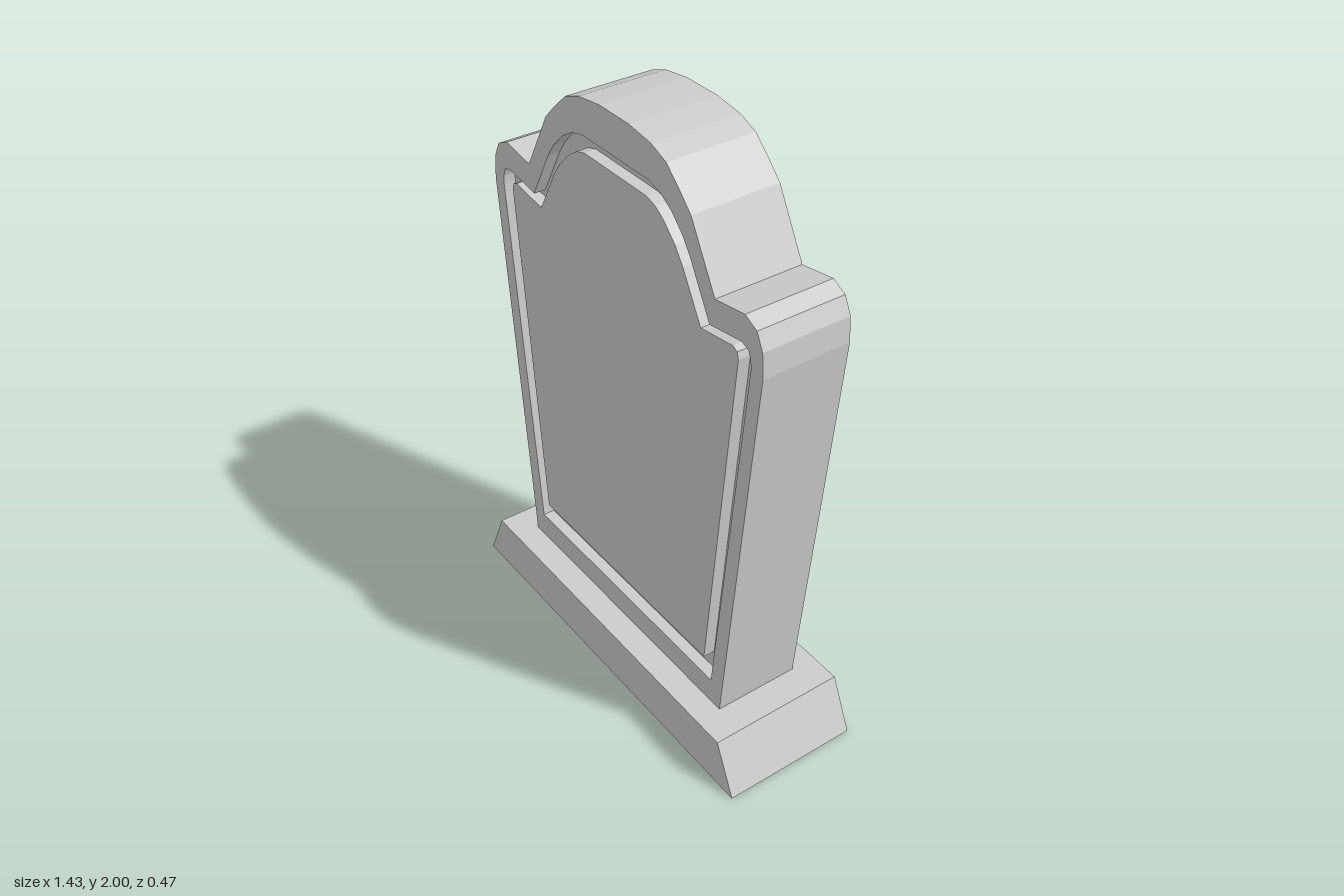
import * as THREE from 'three';

const FRONT = 0.147, GROOVE = 0.04;

// Right-hand halves of the outlines, bottom to top
const OUTLINE = [[0.53, 0.18], [0.662, 1.52], [0.656, 1.6], [0.63, 1.653], [0.58, 1.677], [0.455, 1.657],
  [0.347, 1.855], [0.3, 1.903], [0.238, 1.96], [0.17, 1.986], [0.07, 2]];
const GROOVE_OUTER = [[0.483, 0.27], [0.612, 1.52], [0.61, 1.55], [0.6, 1.577], [0.571, 1.588], [0.434, 1.567],
  [0.345, 1.73], [0.312, 1.778], [0.26, 1.83], [0.21, 1.86], [0.16, 1.874]];
const GROOVE_INNER = [[0.445, 0.34], [0.56, 1.525], [0.554, 1.547], [0.535, 1.556], [0.397, 1.536],
  [0.315, 1.683], [0.28, 1.733], [0.228, 1.785], [0.19, 1.81], [0.15, 1.822]];
const BASE = [[0.715, 0], [0.635, 0.18]];

// Full symmetric outline, counter-clockwise
function mirrored(half) {
  const left = half.map(([x, y]) => [-x, y]).reverse();
  return [...half, ...left].map(([x, y]) => new THREE.Vector2(x, y));
}

export function createModel() {
  const group = new THREE.Group();
  const material = new THREE.MeshStandardMaterial({ color: 0xcccccc, flatShading: true });

  function addSlab(name, half, z0, z1, hole) {
    const shape = new THREE.Shape(mirrored(half));
    if (hole) shape.holes.push(new THREE.Path(mirrored(hole).reverse()));
    const geometry = new THREE.ExtrudeGeometry(shape, { depth: z1 - z0, bevelEnabled: false });
    geometry.translate(0, 0, z0);
    const mesh = new THREE.Mesh(geometry, material);
    mesh.name = name;
    group.add(mesh);
  }

  // Plinth with sloping ends
  addSlab('base', BASE, -0.235, 0.235);
  // Stone body, whose front is the floor of the groove
  addSlab('stoneBody', OUTLINE, -FRONT, FRONT - GROOVE);
  // Border and flush centre panel, leaving the groove between them
  addSlab('border', OUTLINE, FRONT - GROOVE, FRONT, GROOVE_OUTER);
  addSlab('centrePanel', GROOVE_INNER, FRONT - GROOVE, FRONT);

  return group;
}
